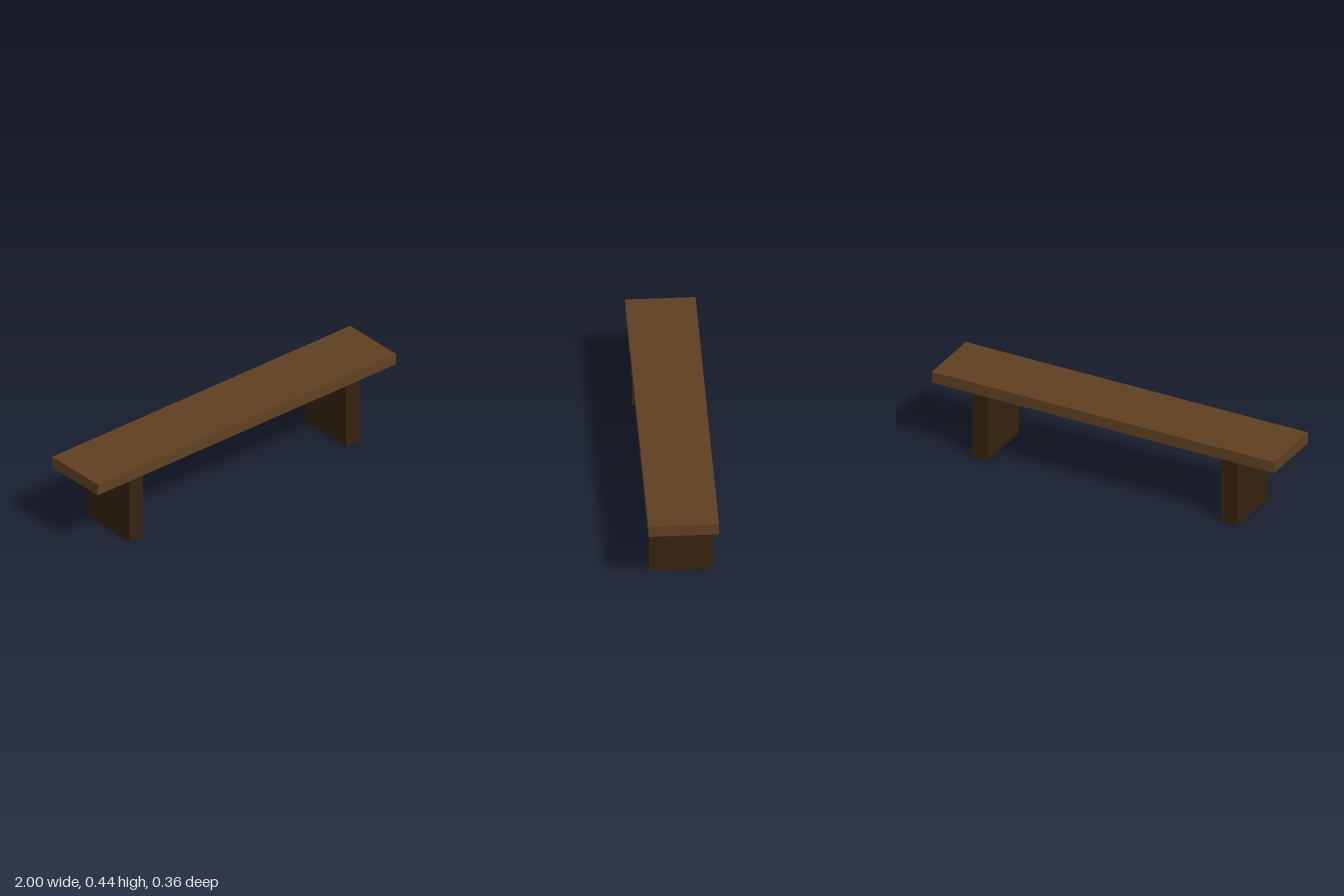
import * as THREE from 'three';

export function createModel() {
  const model = new THREE.Group();
  model.name = 'bench';

  const seatWood = new THREE.MeshStandardMaterial({ color: 0x5f4021 });
  seatWood.name = 'seat brown';
  const legWood = new THREE.MeshStandardMaterial({ color: 0x35220f, side: THREE.DoubleSide });
  legWood.name = 'leg dark brown';

  const legHeight = 0.378, seatThickness = 0.063;

  // Plank seat
  const seat = new THREE.Mesh(new THREE.BoxGeometry(2, seatThickness, 0.362), seatWood);
  seat.name = 'seat';
  seat.position.y = legHeight + seatThickness / 2;
  model.add(seat);

  // Hollow slab legs: a box without its top and bottom faces (6 indices per face)
  const legGeometry = new THREE.BoxGeometry(0.092, legHeight, 0.328);
  const indices = Array.from(legGeometry.index.array);
  legGeometry.setIndex([...indices.slice(0, 12), ...indices.slice(24)]);
  legGeometry.clearGroups();

  for (const side of [-1, 1]) {
    const leg = new THREE.Mesh(legGeometry, legWood);
    leg.name = side > 0 ? 'leftLeg' : 'rightLeg';
    leg.position.set(side * 0.727, legHeight / 2, 0);
    model.add(leg);
  }

  return model;
}
